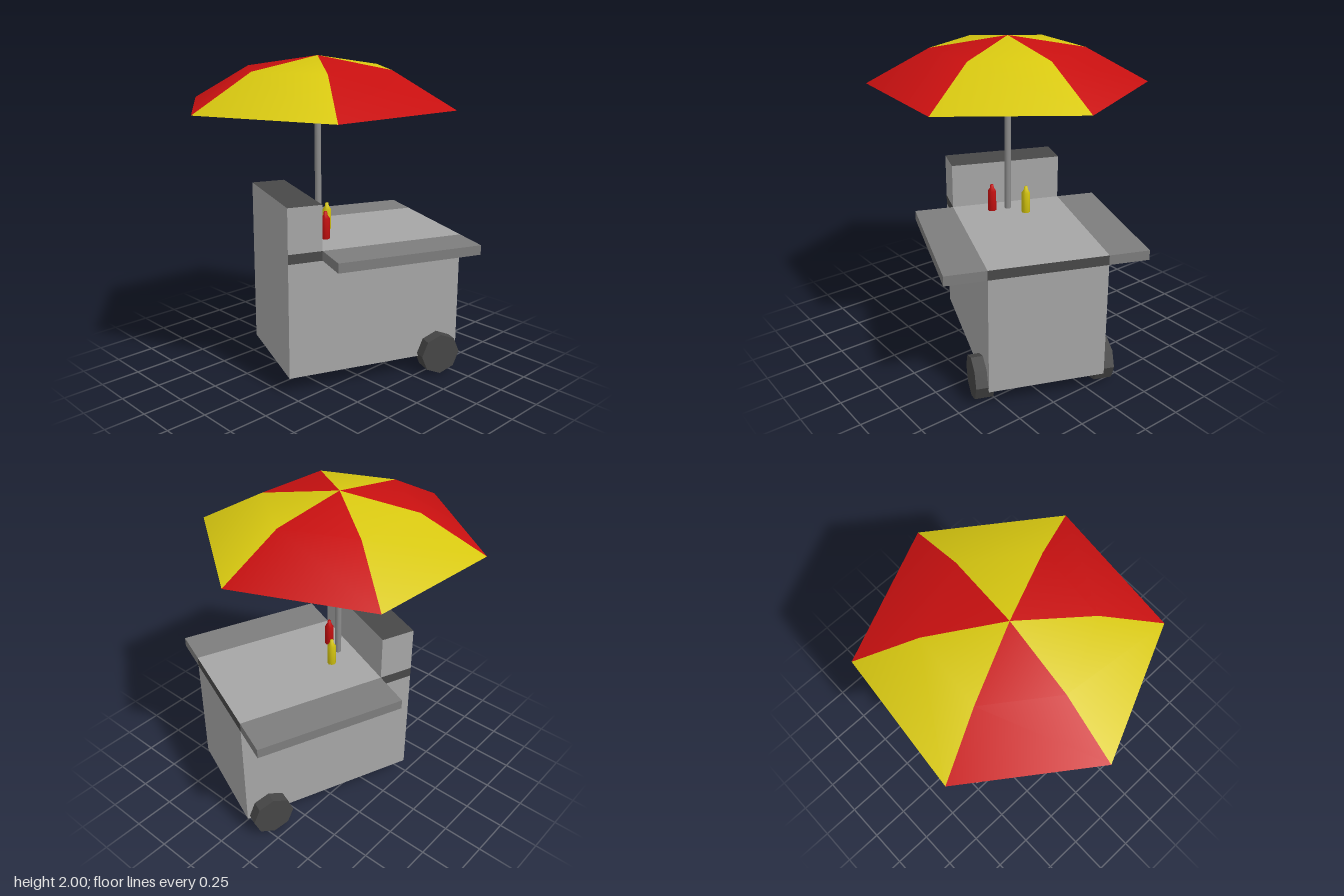
import * as THREE from 'three';

const mat = (name, color, extra = {}) => {
  const m = new THREE.MeshStandardMaterial({ color, ...extra });
  m.name = name;
  return m;
};

export function createModel() {
  const steel = mat('steel', 0xa6a6a6);
  const shelfGrey = mat('shelfGrey', 0x7d7d7d);
  const dark = mat('darkTrim', 0x484848);
  const tyre = mat('tyre', 0x464646, { flatShading: true });
  const poleGrey = mat('poleGrey', 0x8c8c8c);
  const red = mat('red', 0xc81010, { side: THREE.DoubleSide });
  const yellow = mat('yellow', 0xd8c810, { side: THREE.DoubleSide });

  const model = new THREE.Group();
  const add = (parent, name, geometry, material, x, y, z) => {
    const mesh = new THREE.Mesh(geometry, material);
    mesh.name = name;
    mesh.position.set(x, y, z);
    parent.add(mesh);
    return mesh;
  };
  // box given by its extents
  const box = (parent, name, material, [x0, x1], [y0, y1], [z0, z1]) =>
    add(parent, name, new THREE.BoxGeometry(x1 - x0, y1 - y0, z1 - z0), material,
      (x0 + x1) / 2, (y0 + y1) / 2, (z0 + z1) / 2);

  // cart, turned on its vertical axis
  const cart = new THREE.Group();
  cart.name = 'cart';
  cart.position.set(0.045, 0, -0.17);
  cart.rotation.y = -0.38;
  model.add(cart);

  const W = 0.353, L = 0.57, front = 0.355, shelfY = 0.835, topY = 0.895;
  box(cart, 'cabinet', steel, [-W, W], [0.11, shelfY], [-L, L]);
  // counter: dark sides and back, steel top and front
  box(cart, 'counter', [dark, dark, steel, steel, steel, dark], [-W, W], [shelfY, topY], [-L, L]);
  // raised front with dark top
  box(cart, 'raisedFront', [steel, steel, dark, steel, steel, steel], [-W, W], [topY, 1.175], [front, L]);

  for (const s of [-1, 1]) {
    const side = s > 0 ? 'left' : 'right';
    const xs = s > 0 ? [W, W + 0.245] : [-W - 0.245, -W];
    box(cart, side + 'Shelf', shelfGrey, xs, [shelfY, topY], [-L, front]);
    // eight-sided wheel
    const wheelGeo = new THREE.CylinderGeometry(0.132, 0.132, 0.11, 8).rotateZ(Math.PI / 2);
    add(cart, side + 'Wheel', wheelGeo, tyre, s * 0.37, 0.132, -0.423);
  }

  // umbrella pole
  const cx = -0.035, cz = 0.072;
  add(model, 'pole', new THREE.CylinderGeometry(0.02, 0.02, 1.09, 8), poleGrey, cx, topY + 0.545, cz);

  // umbrella canopy: six panels in alternating colours
  const canopy = new THREE.Group();
  canopy.name = 'umbrellaCanopy';
  canopy.position.set(cx, 0, cz);
  model.add(canopy);
  const profile = [[0.852, 1.715], [0.465, 1.927], [0, 2]].map(p => new THREE.Vector2(...p));
  const step = Math.PI / 3, start = THREE.MathUtils.degToRad(-5.6);
  for (let i = 0; i < 6; i++) {
    const panel = new THREE.LatheGeometry(profile, 1, start + i * step, step);
    add(canopy, 'canopyPanel' + (i + 1), panel, i % 2 ? red : yellow, 0, 0, 0);
  }

  // sauce bottles
  const bottle = [[0, 0], [0.027, 0], [0.027, 0.13], [0.013, 0.15], [0.01, 0.172], [0, 0.172]]
    .map(p => new THREE.Vector2(...p));
  add(model, 'redBottle', new THREE.LatheGeometry(bottle, 8), red, 0.066, topY, 0.104);
  add(model, 'yellowBottle', new THREE.LatheGeometry(bottle, 8), yellow, -0.086, topY, -0.05);

  return model;
}
